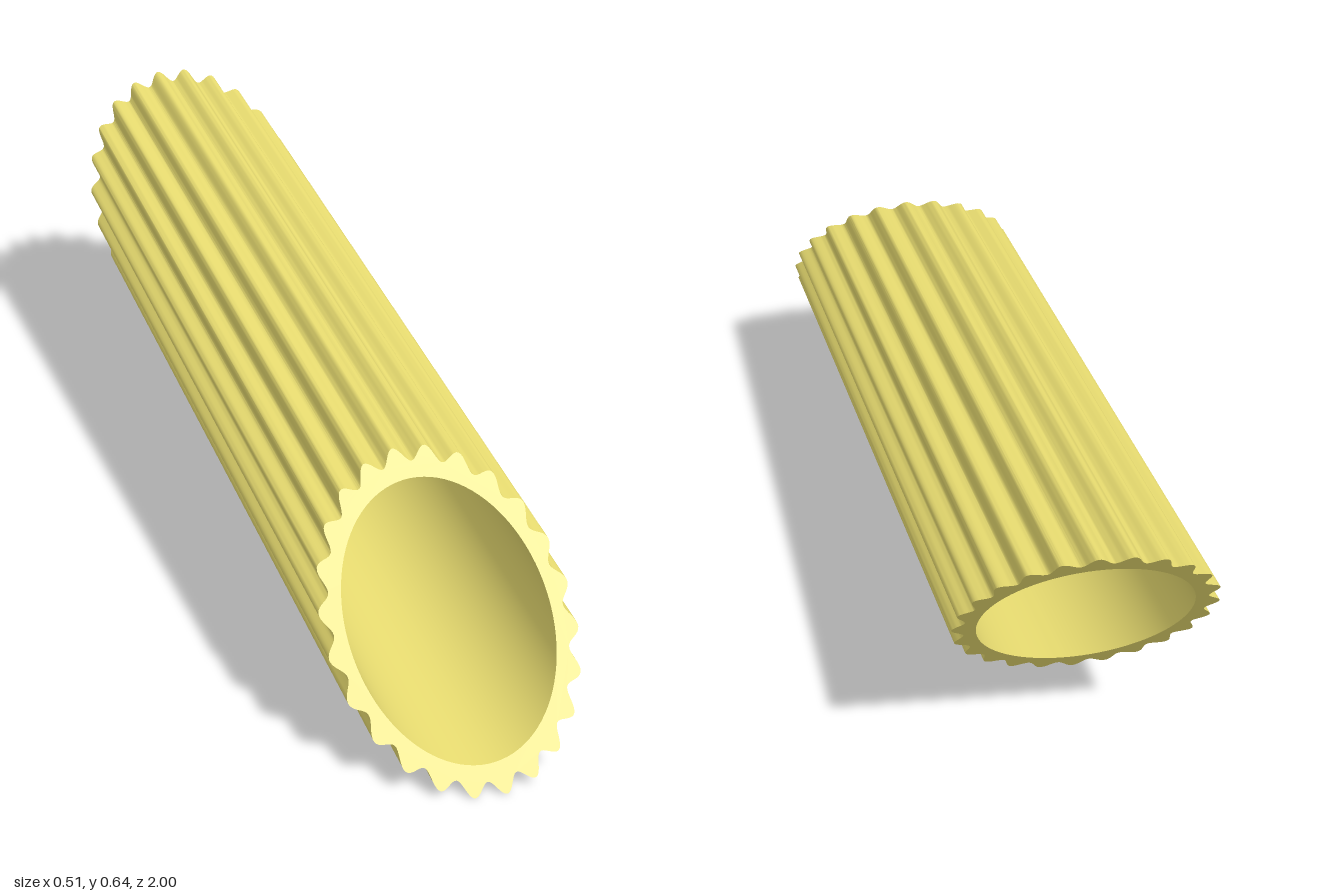
import * as THREE from 'three';
import { toCreasedNormals } from 'three/addons/utils/BufferGeometryUtils.js';

const RIDGES = 24, STEPS = 16;            // ridges around the tube, points per ridge
const R_PEAK = 0.2435, R_VALLEY = 0.222, R_BORE = 0.1985;
const PHASE = THREE.MathUtils.degToRad(-6.5);

// Slanted cuts: centre, and how far each runs along the tube per unit of y and x
const FRONT = { centre: [0.012, 0.261, 0.779], m: 0.84, b: 0.12 };
const BACK = { centre: [-0.012, 0.388, -0.825], m: 0.67, b: 0.12 };

// Wavy ring with a round bore
function ringShape() {
  const pts = [];
  const n = RIDGES * STEPS;
  const mid = (R_PEAK + R_VALLEY) / 2, amp = (R_PEAK - R_VALLEY) / 2;
  for (let i = 0; i < n; i++) {
    const a = (i / n) * Math.PI * 2;
    const r = mid + amp * Math.cos(RIDGES * (a - PHASE));
    pts.push(new THREE.Vector2(r * Math.cos(a), r * Math.sin(a)));
  }
  const shape = new THREE.Shape(pts);
  shape.holes.push(new THREE.Path().absarc(0, 0, R_BORE, 0, Math.PI * 2, true));
  return shape;
}

export function createModel() {
  const geo = new THREE.ExtrudeGeometry(ringShape(), {
    depth: 1, steps: 1, bevelEnabled: false, curveSegments: 48,
  });

  // Slope of the tube's axis per unit of -z
  const [fx, fy, fz] = FRONT.centre, [bx, by, bz] = BACK.centre;
  const ax = (bx - fx) / (fz - bz), ay = (by - fy) / (fz - bz);

  // Slide every end point along the axis onto its cutting plane
  const pos = geo.attributes.position;
  for (let i = 0; i < pos.count; i++) {
    const u = pos.getX(i), v = pos.getY(i);
    const { centre: [cx, cy, cz], m, b } = pos.getZ(i) > 0.5 ? FRONT : BACK;
    const s = (m * v - b * u) / (1 - ay * m + ax * b);
    pos.setXYZ(i, cx + u + ax * s, cy + v + ay * s, cz - s);
  }

  const tube = new THREE.Mesh(
    toCreasedNormals(geo, THREE.MathUtils.degToRad(36)),
    new THREE.MeshStandardMaterial({ color: 0xe8dc70 })
  );
  tube.name = 'ridgedTube';

  const group = new THREE.Group();
  group.name = 'pastaTube';
  group.add(tube);
  return group;
}
